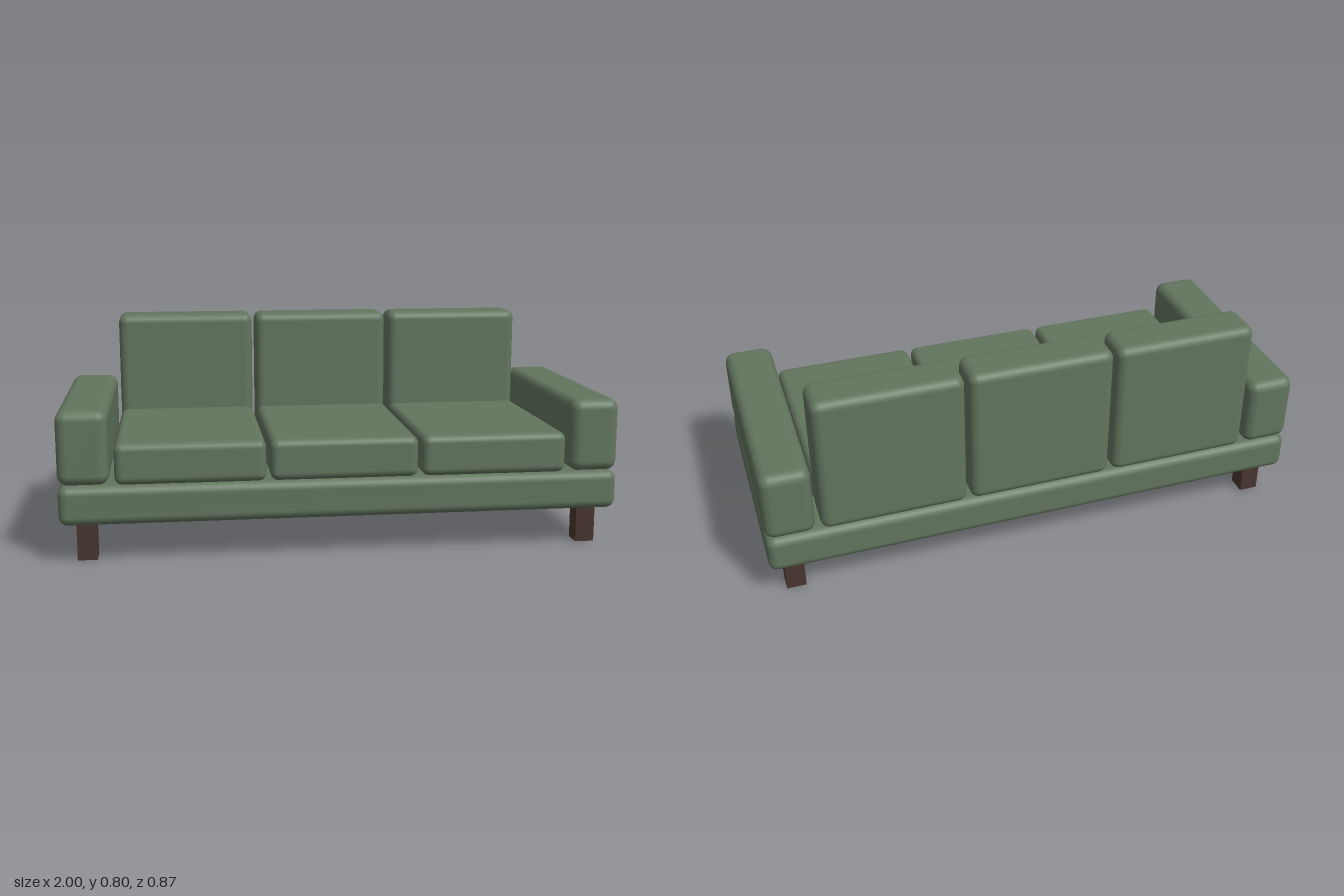
import * as THREE from 'three';
import { RoundedBoxGeometry } from 'three/addons/geometries/RoundedBoxGeometry.js';

export function createModel() {
  const sofa = new THREE.Group();
  sofa.name = 'sofa';

  const fabric = new THREE.MeshStandardMaterial({ color: 0x62755e });
  fabric.name = 'green fabric';
  const wood = new THREE.MeshStandardMaterial({ color: 0x47352f });
  wood.name = 'dark wood';

  function add(name, geometry, material, x, y, z) {
    const mesh = new THREE.Mesh(geometry, material);
    mesh.name = name;
    mesh.position.set(x, y, z);
    sofa.add(mesh);
  }

  // Upholstered block given by its centre x, bottom and top, back and front
  function pad(name, x, width, y0, y1, z0, z1, radius = 0.033) {
    const geometry = new RoundedBoxGeometry(width, y1 - y0, z1 - z0, 5, radius);
    add(name, geometry, fabric, x, (y0 + y1) / 2, (z0 + z1) / 2);
  }

  // Base platform
  pad('base', 0, 2, 0.14, 0.281, -0.437, 0.437);

  // Armrests and legs, mirrored left and right
  for (const side of [1, -1]) {
    const label = side > 0 ? 'left' : 'right';
    pad(label + 'Armrest', side * 0.911, 0.178, 0.282, 0.545, -0.437, 0.437, 0.037);
    for (const [end, z] of [['Front', 0.333], ['Back', -0.333]]) {
      add(label + end + 'Leg', new THREE.BoxGeometry(0.07, 0.15, 0.07), wood, side * 0.909, 0.075, z);
    }
  }

  // Three seat cushions with matching back cushions
  ['right', 'middle', 'left'].forEach((label, i) => {
    const x = (i - 1) * 0.541;
    pad(label + 'SeatCushion', x, 0.527, 0.281, 0.428, -0.274, 0.437, 0.028);
    pad(label + 'BackCushion', x, 0.527, 0.281, 0.8, -0.437, -0.274, 0.033);
  });

  return sofa;
}
